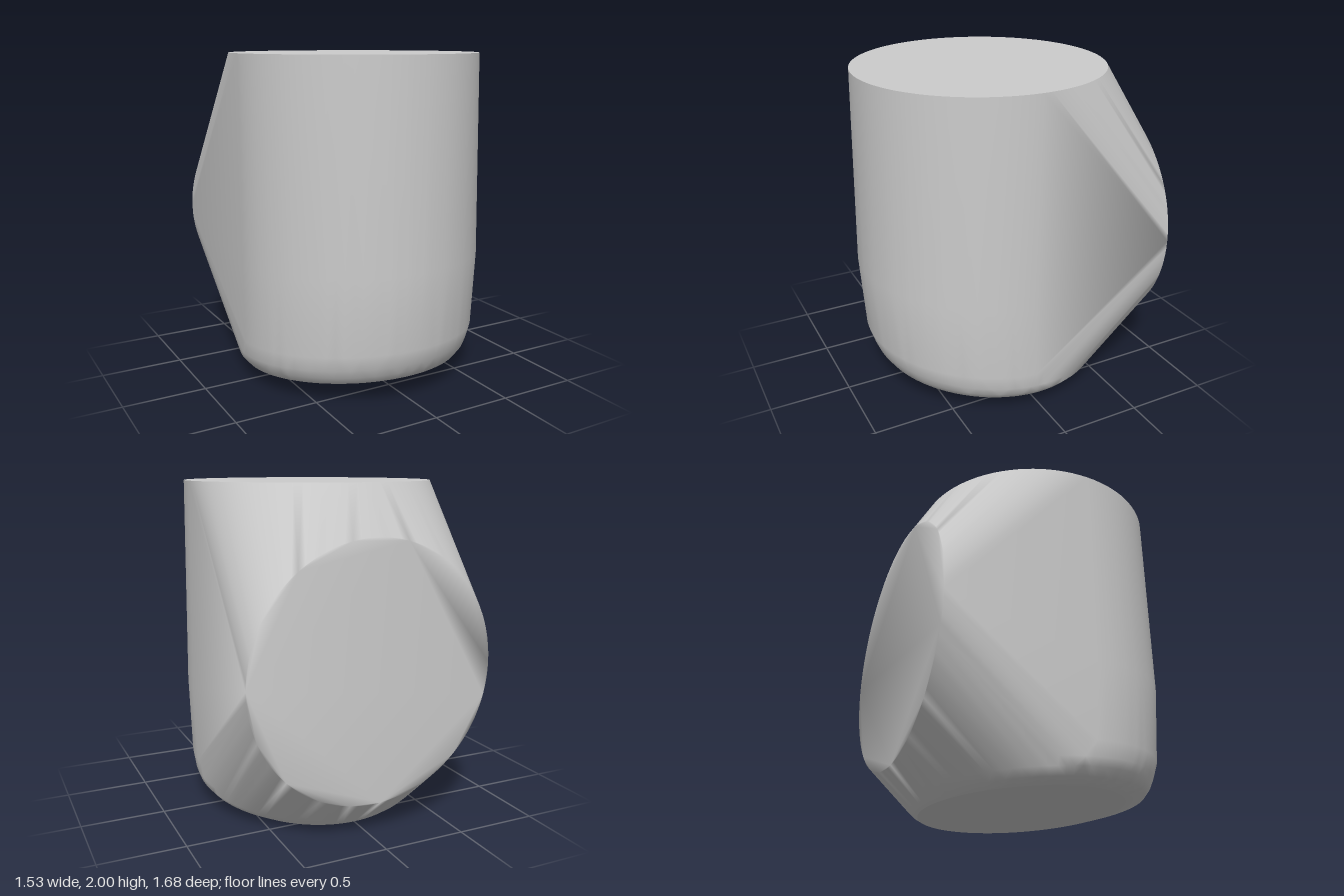
import * as THREE from 'three';
import { ConvexGeometry } from 'three/addons/geometries/ConvexGeometry.js';
import { mergeVertices } from 'three/addons/utils/BufferGeometryUtils.js';

const SEGMENTS = 96;

// Points of a circle, mapped into space by place(cos, sin)
function ring(place) {
  return Array.from({ length: SEGMENTS }, (_, i) => {
    const a = (i / SEGMENTS) * Math.PI * 2;
    return place(Math.cos(a), Math.sin(a));
  });
}

// Horizontal ring, optionally sloping up towards the front
function levelRing([radius, height, centreZ, slope]) {
  return ring((c, s) => {
    const z = centreZ + radius * s;
    return new THREE.Vector3(radius * c, height + slope * z, z);
  });
}

// Smooth geometry from the chosen triangles of a hull
function smoothPart(hull, keep) {
  const p = hull.getAttribute('position');
  const v = [0, 1, 2].map(() => new THREE.Vector3());
  const normal = new THREE.Vector3();
  const out = [];
  for (let i = 0; i < p.count; i += 3) {
    v.forEach((q, k) => q.fromBufferAttribute(p, i + k));
    THREE.Triangle.getNormal(v[0], v[1], v[2], normal);
    if (keep(normal)) v.forEach((q) => out.push(q.x, q.y, q.z));
  }
  let geometry = new THREE.BufferGeometry();
  geometry.setAttribute('position', new THREE.Float32BufferAttribute(out, 3));
  geometry = mergeVertices(geometry, 1e-5);
  geometry.computeVertexNormals();
  return geometry;
}

export function createModel() {
  const group = new THREE.Group();
  group.name = 'roundedElbowBlock';
  const material = new THREE.MeshStandardMaterial({ color: 0xcccccc });

  // Upright body: radius, height, centre z, slope
  const body = [
    [0.61, 0.055, -0.005, 0.087],
    [0.69, 0.085, 0.04, 0.087],
    [0.728, 0.13, 0.035, 0.087],
    [0.745, 0.18, 0.04, 0.087],
    [0.755, 0.27, 0.06, 0.087],
    [0.765, 0.73, 0.08, 0.087],
    [0.755, 2, 0.065, 0],
  ].flatMap(levelRing);

  // Upright disc at the back, joined to the body by tangent surfaces
  const back = ring((c, s) => new THREE.Vector3(0.757 * c, 0.962 + 0.757 * s, -0.84));

  const hull = new ConvexGeometry([...body, ...back]);
  const isTop = (n) => n.y > 0.99;
  const isBase = (n) => n.y < -0.985;
  const parts = {
    topCap: isTop,
    baseCap: isBase,
    outerWall: (n) => !isTop(n) && !isBase(n),
  };
  for (const [name, keep] of Object.entries(parts)) {
    const mesh = new THREE.Mesh(smoothPart(hull, keep), material);
    mesh.name = name;
    group.add(mesh);
  }
  return group;
}
